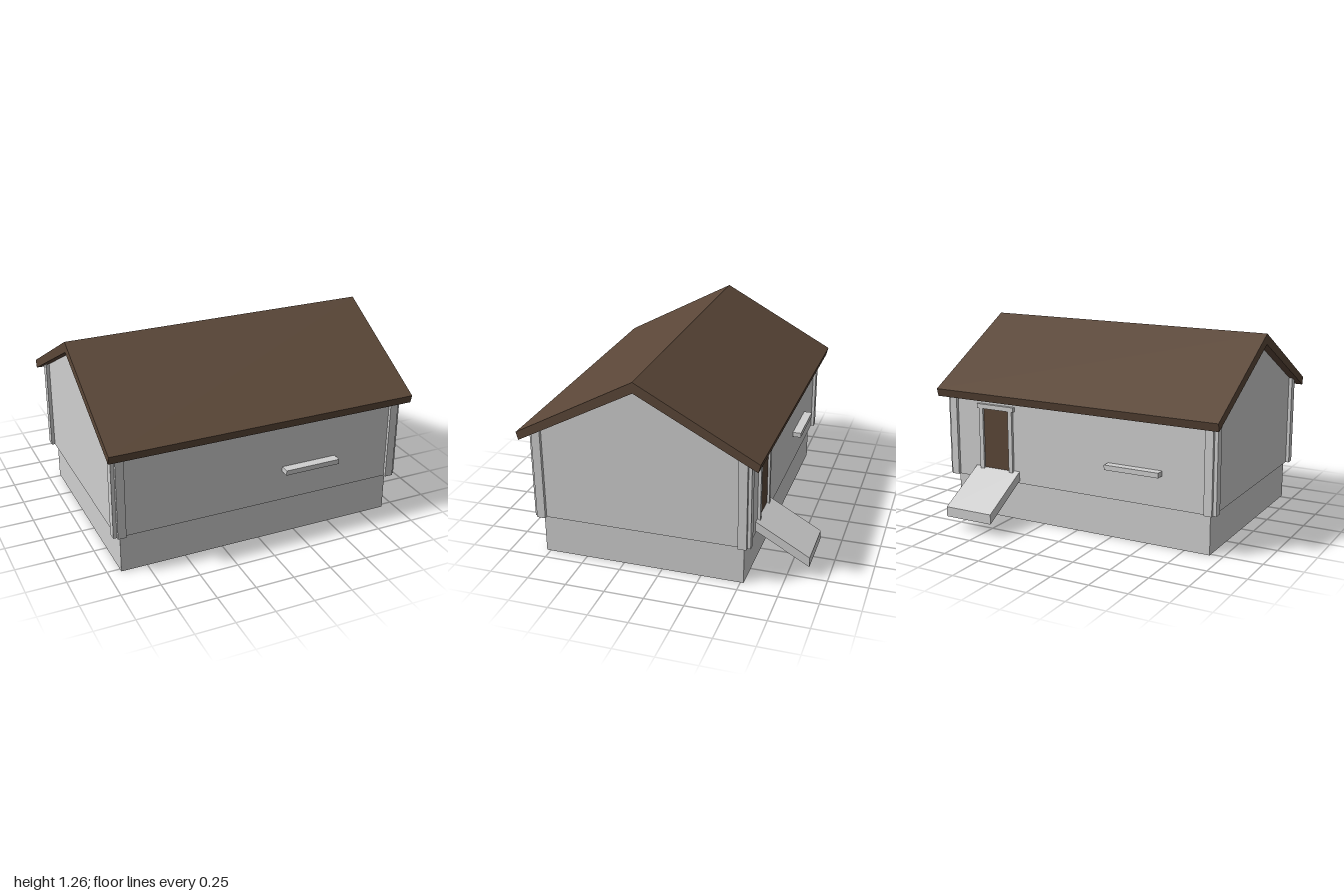
import * as THREE from 'three';

const MID = 0.128;      // z of the ridge line
const HALF_X = 0.945;   // wall half length
const HALF_Z = 0.675;   // wall half depth

export function createModel() {
  const house = new THREE.Group();
  house.name = 'house';

  const plaster = new THREE.MeshStandardMaterial({ color: 0xcfcfcf });
  plaster.name = 'pale grey';
  const wood = new THREE.MeshStandardMaterial({ color: 0x5b4738 });
  wood.name = 'dark brown';

  const add = (name, geometry, material) => {
    const mesh = new THREE.Mesh(geometry, material);
    mesh.name = name;
    house.add(mesh);
    return mesh;
  };

  // Box given by its extents
  const box = (name, material, x0, x1, y0, y1, z0, z1) =>
    add(name, new THREE.BoxGeometry(x1 - x0, y1 - y0, z1 - z0), material)
      .position.set((x0 + x1) / 2, (y0 + y1) / 2, (z0 + z1) / 2);

  // Profile of [z, y] points, extruded along x from x0 to x1
  const extrudeX = (name, material, points, x0, x1) => {
    const shape = new THREE.Shape(points.map(([z, y]) => new THREE.Vector2(z, y)));
    const geometry = new THREE.ExtrudeGeometry(shape, { depth: x1 - x0, bevelEnabled: false });
    geometry.rotateY(-Math.PI / 2);
    geometry.translate(x1, 0, 0);
    return add(name, geometry, material);
  };

  // Foundation
  box('foundation', plaster, -0.918, 0.918, 0, 0.26, MID - 0.648, MID + 0.648);

  // Walls with gables
  extrudeX('walls', plaster, [
    [MID - HALF_Z, 0.26], [MID + HALF_Z, 0.26], [MID + HALF_Z, 0.836],
    [MID, 1.192], [MID - HALF_Z, 0.836],
  ], -HALF_X, HALF_X);

  // Gable roof
  extrudeX('roof', wood, [
    [MID - 0.758, 0.848], [MID - 0.745, 0.797], [MID, 1.19],
    [MID + 0.745, 0.797], [MID + 0.758, 0.848], [MID, 1.258],
  ], -1, 1);

  // Corner boards: one on each face of every corner, leaving a notch between
  for (const sx of [-1, 1]) {
    for (const sz of [-1, 1]) {
      const sideBoard = new THREE.BoxGeometry(0.022, 0.6, 0.055);
      add('gableCornerBoard', sideBoard, plaster)
        .position.set(sx * (HALF_X + 0.011), 0.56, MID + sz * (HALF_Z - 0.0275));
      const frontBoard = new THREE.BoxGeometry(0.053, 0.6, 0.02);
      add('wallCornerBoard', frontBoard, plaster)
        .position.set(sx * (HALF_X - 0.0265), 0.56, MID + sz * (HALF_Z + 0.01));
    }
  }

  // Ledges on the long walls
  const front = MID + HALF_Z, back = MID - HALF_Z;
  box('frontLedge', plaster, 0.14, 0.51, 0.46, 0.492, front, 0.862);
  box('backLedge', plaster, -0.61, -0.24, 0.46, 0.492, -0.603, back);

  // Back door with its frame
  const doorX = 0.587;
  box('door', wood, doorX - 0.1, doorX + 0.1, 0.3, 0.735, back - 0.004, back + 0.004);
  for (const s of [-1, 1]) {
    const jamb = add('doorJamb', new THREE.BoxGeometry(0.03, 0.435, 0.018), plaster);
    jamb.position.set(doorX + s * 0.112, 0.5175, back - 0.009);
  }
  box('doorLintel', plaster, doorX - 0.14, doorX + 0.14, 0.735, 0.765, back - 0.02, back);

  // Entrance ramp
  extrudeX('ramp', plaster, [
    [back, 0.276], [back, 0.338], [-0.886, 0.146], [-0.886, 0.082],
  ], 0.418, 0.756);

  return house;
}
